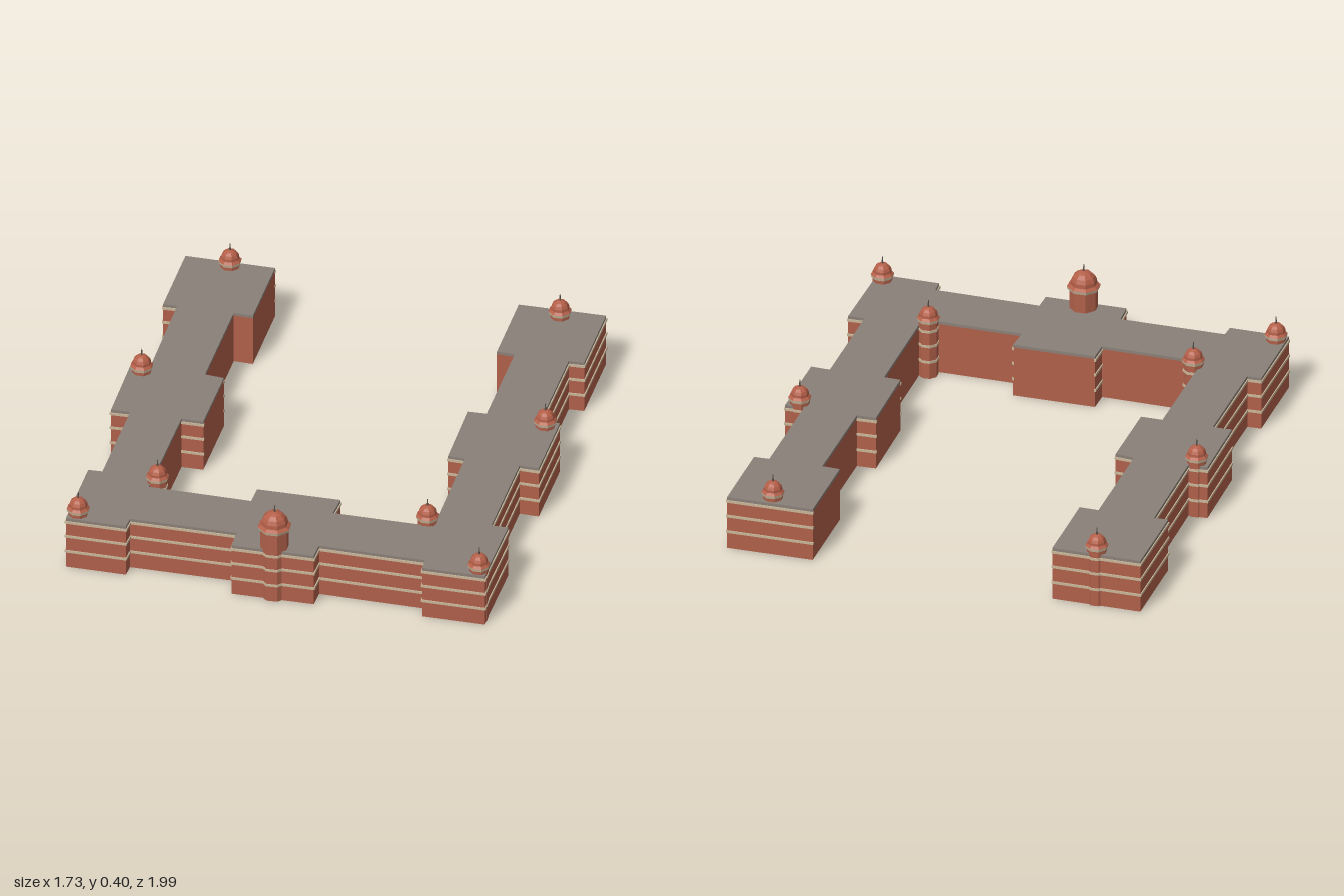
import * as THREE from 'three';

const mat = (name, color, side = THREE.FrontSide) => {
  const m = new THREE.MeshStandardMaterial({ color, flatShading: true, side });
  m.name = name;
  return m;
};

export function createModel() {
  const brick = mat('brick', 0xb0604a);
  const domeRed = mat('domeRed', 0xb45f48);
  const stone = mat('stone', 0xc9b699);
  const roofGrey = mat('roofGrey', 0x8a8078);
  const metal = mat('metal', 0x55504a);

  const model = new THREE.Group();
  model.name = 'courtyardBuilding';
  const add = (parent, name, geometry, material, x = 0, y = 0, z = 0) => {
    const mesh = new THREE.Mesh(geometry, material);
    mesh.name = name;
    mesh.position.set(x, y, z);
    parent.add(mesh);
    return mesh;
  };

  // Footprint corners as [x, z]: courtyard side first, then the street side
  const yard = [
    [-0.79, -0.995], [-0.44, -0.98], [-0.455, -0.635], [-0.53, -0.64], [-0.55, -0.195],
    [-0.475, -0.185], [-0.49, 0.13], [-0.575, 0.127], [-0.6, 0.62], [-0.2, 0.64],
    [-0.195, 0.555], [0.13, 0.565], [0.12, 0.66], [0.515, 0.675], [0.535, 0.185],
    [0.47, 0.18], [0.48, -0.14], [0.555, -0.14], [0.575, -0.57], [0.505, -0.575]
  ];
  const street = [
    [0.52, -0.915], [0.86, -0.905], [0.845, -0.565], [0.785, -0.565], [0.765, -0.13],
    [0.84, -0.13], [0.825, 0.195], [0.75, 0.19], [0.73, 0.625], [0.795, 0.625],
    [0.775, 0.98], [0.53, 0.97], [0.53, 0.915], [0.115, 0.895], [0.11, 0.97],
    [-0.21, 0.96], [-0.21, 0.87], [-0.625, 0.855], [-0.63, 0.91], [-0.865, 0.9],
    [-0.85, 0.55], [-0.795, 0.55], [-0.775, 0.12], [-0.85, 0.12], [-0.84, -0.2],
    [-0.765, -0.2], [-0.75, -0.645], [-0.805, -0.645]
  ];
  const plan = [...yard, ...street];
  const shape = new THREE.Shape(plan.map(([x, z]) => new THREE.Vector2(x, -z)));
  const slab = (depth) =>
    new THREE.ExtrudeGeometry(shape, { depth, bevelEnabled: false }).rotateX(-Math.PI / 2);

  // Walls and flat roof
  add(model, 'walls', slab(0.206), brick);
  add(model, 'roof', slab(0.012), roofGrey, 0, 0.206, 0);

  // Stone courses on the outer walls and on the short returns of the courtyard bays
  const bandHeights = [0.071, 0.138, 0.201];
  const yardReturns = [0, 4, 6, 9, 11, 14, 16];
  const bands = new THREE.Group();
  bands.name = 'stoneBands';
  model.add(bands);
  plan.forEach(([x, z], i) => {
    if (i < yard.length && !yardReturns.includes(i)) return;
    const [x2, z2] = plan[(i + 1) % plan.length];
    const length = Math.hypot(x2 - x, z2 - z);
    for (const y of bandHeights) {
      const band = add(bands, 'stoneBand', new THREE.BoxGeometry(length + 0.006, 0.01, 0.008),
        stone, (x + x2) / 2, y, (z + z2) / 2);
      band.rotation.y = -Math.atan2(z2 - z, x2 - x);
    }
  });

  // Eight-sided domed tower; r = shaft radius, h = height of the cornice
  const octagon = (top, bottom, height) =>
    new THREE.CylinderGeometry(top, bottom, height, 8).rotateY(Math.PI / 8);
  const tower = (name, x, z, r, h) => {
    const g = new THREE.Group();
    g.name = name;
    g.position.set(x, 0, z);
    model.add(g);
    add(g, 'shaft', octagon(r, r, h), brick, 0, h / 2, 0);
    for (const y of bandHeights) add(g, 'shaftBand', octagon(r + 0.003, r + 0.003, 0.01), stone, 0, y, 0);
    add(g, 'cornice', octagon(r * 1.18, r * 1.12, 0.012), stone, 0, h - 0.002, 0);
    add(g, 'eaves', octagon(r * 0.92, r * 1.18, 0.01), domeRed, 0, h + 0.009, 0);
    const s = r * 0.95;
    const profile = [[1, 0], [0.97, 0.32], [0.82, 0.63], [0.56, 0.88], [0.28, 1.0], [0, 1.05]]
      .map(([a, b]) => new THREE.Vector2(a * s, b * s));
    add(g, 'dome', new THREE.LatheGeometry(profile, 8).rotateY(Math.PI / 8), domeRed, 0, h + 0.012, 0);
    add(g, 'finial', new THREE.CylinderGeometry(0.0015, 0.004, 0.03, 6), metal, 0, h + s * 1.05 + 0.024, 0);
  };

  tower('mainTower', -0.05, 0.93, 0.055, 0.307);
  [
    [-0.61, -0.96], [0.69, -0.865], [-0.79, -0.17], [0.79, -0.1],
    [-0.575, 0.58], [0.485, 0.645], [-0.825, 0.86], [0.745, 0.94]
  ].forEach(([x, z]) => tower('smallTower', x, z, 0.038, 0.242));

  return model;
}
